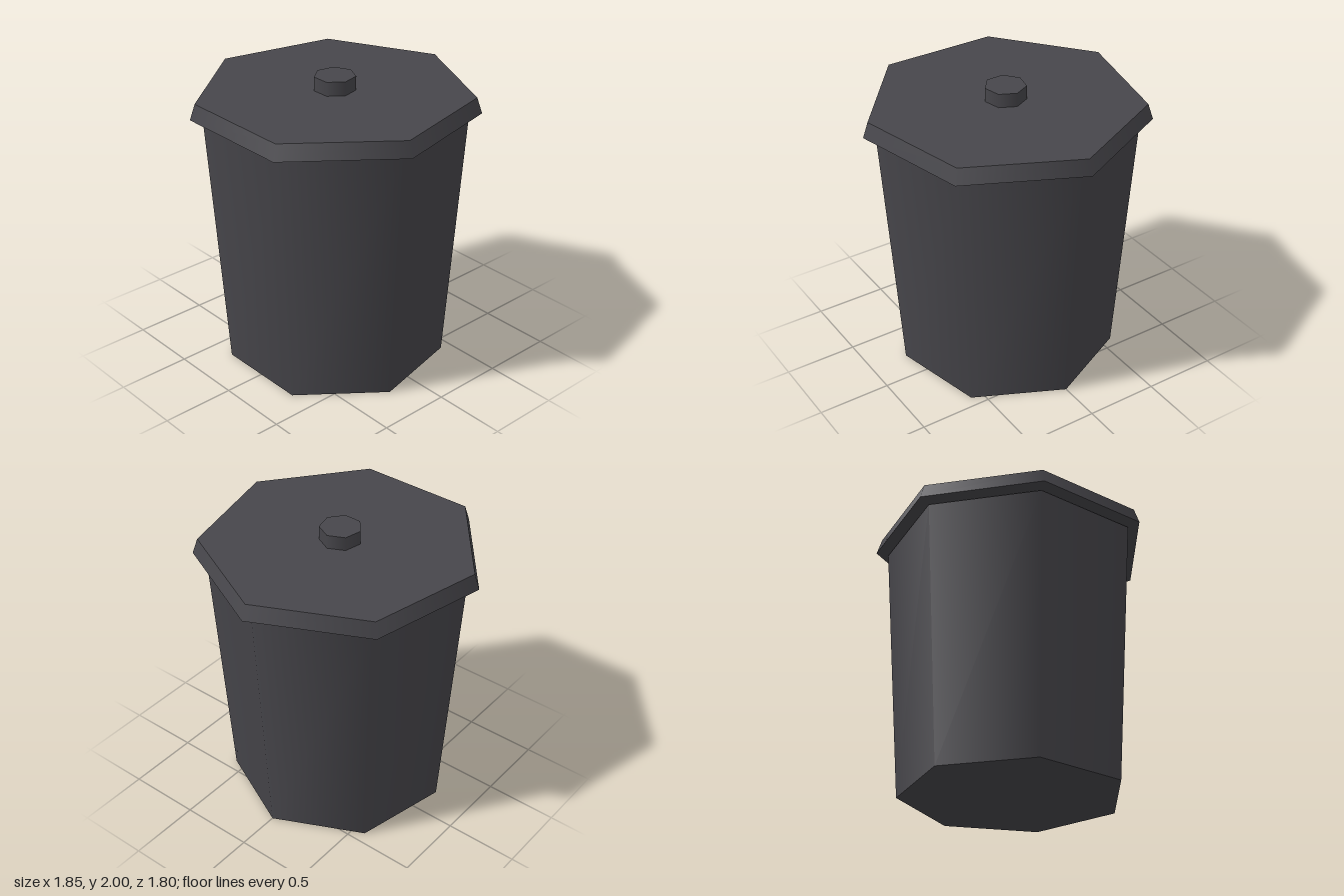
import * as THREE from 'three';

const SIDES = 7;
const CENTRE_Z = 0.045; // heptagon centre, so the flat front and pointed back balance

export function createModel() {
  const group = new THREE.Group();
  group.name = 'trashCan';

  const darkGrey = new THREE.MeshStandardMaterial({ color: 0x47464b });
  darkGrey.name = 'dark grey';

  // Seven-sided tapered drum with a corner pointing to the back
  function addDrum(name, topRadius, bottomRadius, y0, y1) {
    const geometry = new THREE.CylinderGeometry(
      topRadius, bottomRadius, y1 - y0, SIDES, 1, false, Math.PI);
    const mesh = new THREE.Mesh(geometry, darkGrey);
    mesh.name = name;
    mesh.position.set(0, (y0 + y1) / 2, CENTRE_Z);
    group.add(mesh);
  }

  addDrum('body', 0.867, 0.749, 0, 1.78);
  addDrum('lid', 0.914, 0.949, 1.8, 1.905);
  addDrum('lidKnob', 0.138, 0.138, 1.905, 2);

  return group;
}
